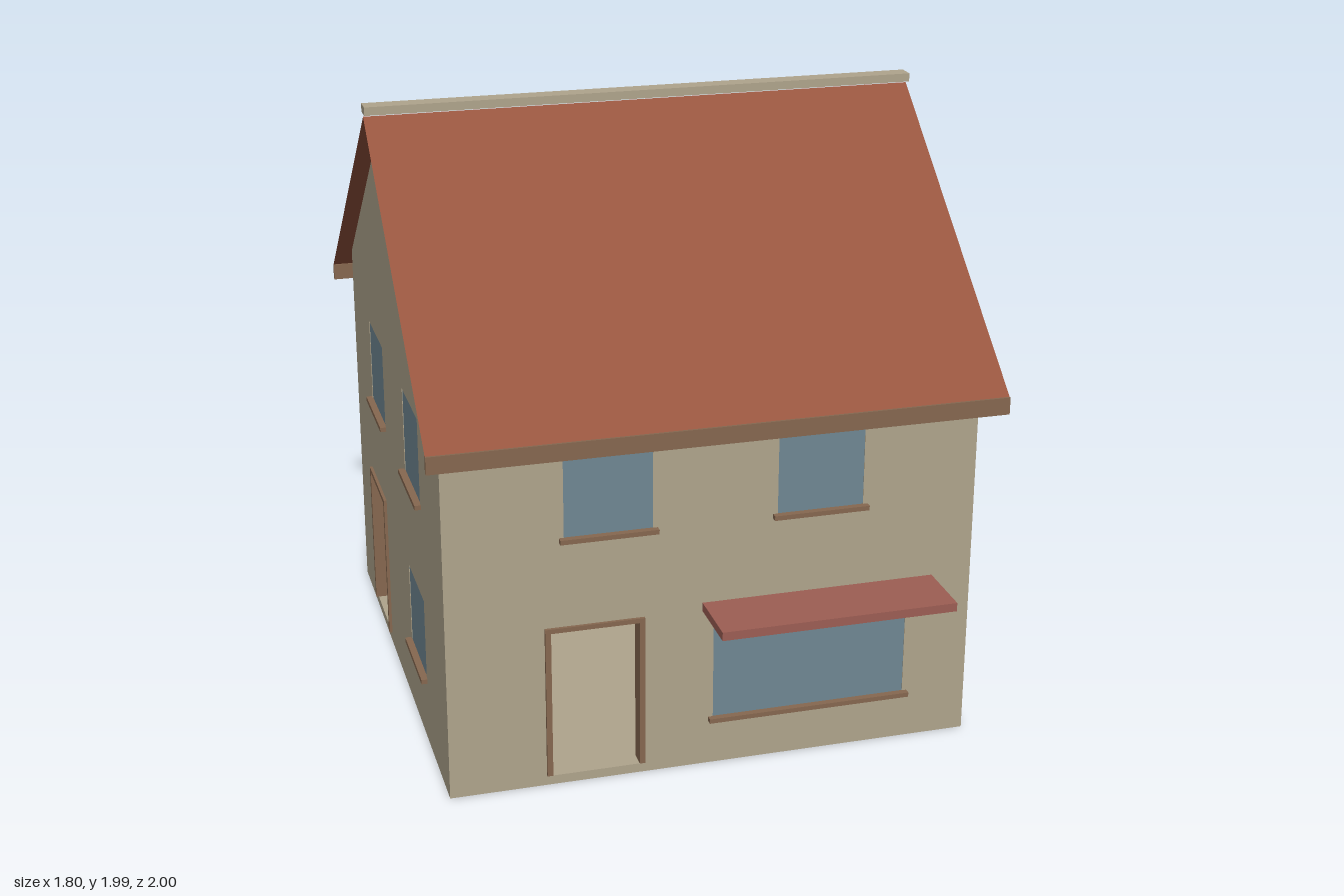
import * as THREE from 'three';

const mat = (name, color) => {
  const m = new THREE.MeshStandardMaterial({ color });
  m.name = name;
  return m;
};

export function createModel() {
  const plaster = mat('plaster', 0xb0a58d);
  const tile = mat('roofTile', 0x97553f);
  const glass = mat('glass', 0x708894);
  const wood = mat('wood', 0x866850);
  const awning = mat('awning', 0x9d5e54);
  tile.side = THREE.DoubleSide;

  const HX = 0.845, HZ = 0.84, EAVE = 1.26, RIDGE = 1.945, T = 0.04;
  const house = new THREE.Group();
  house.name = 'house';
  house.position.z = -0.05;

  // Box given by its lower and upper limits on each axis
  const box = (parent, name, material, x0, x1, y0, y1, z0, z1) => {
    const m = new THREE.Mesh(new THREE.BoxGeometry(x1 - x0, y1 - y0, z1 - z0), material);
    m.position.set((x0 + x1) / 2, (y0 + y1) / 2, (z0 + z1) / 2);
    m.name = name;
    parent.add(m);
    return m;
  };

  // One wall facing local +z, with its windows [x0, x1, y0, y1] and doors (centre x)
  const wall = (name, angle, dist, half, gable, windows, doors) => {
    const g = new THREE.Group();
    g.name = name;
    g.rotation.y = angle;
    const pts = [[-half, 0], [half, 0], [half, EAVE]];
    if (gable) pts.push([0, RIDGE]);
    pts.push([-half, EAVE]);
    const shape = new THREE.Shape(pts.map(p => new THREE.Vector2(...p)));
    const hole = (a, b, c, d) => shape.holes.push(new THREE.Path(
      [[a, c], [a, d], [b, d], [b, c]].map(p => new THREE.Vector2(...p))));

    for (const [a, b, c, d] of windows) {
      hole(a, b, c, d);
      box(g, 'windowPane', glass, a, b, c, d, dist - T + 0.002, dist - 0.002);
      box(g, 'windowSill', wood, a - 0.015, b + 0.015, c - 0.012, c + 0.003, dist - 0.005, dist + 0.02);
    }
    for (const c of doors) {
      const w = 0.157, f = 0.018, z0 = dist - T - 0.005, z1 = dist + 0.01;
      hole(c - w + 0.005, c + w - 0.005, 0.03, 0.537);
      for (const s of [-1, 1]) {
        const a = c + s * w, b = c + s * (w - f);
        box(g, 'doorPost', wood, Math.min(a, b), Math.max(a, b), 0.035, 0.54, z0, z1);
      }
      box(g, 'doorHead', wood, c - w + f, c + w - f, 0.525, 0.54, z0, z1);
    }
    const mesh = new THREE.Mesh(
      new THREE.ExtrudeGeometry(shape, { depth: T, bevelEnabled: false }), plaster);
    mesh.position.z = dist - T;
    mesh.name = name + 'Panel';
    g.add(mesh);
    house.add(g);
  };

  const LOW = [0.228, 0.5], HIGH = [0.832, 1.115];
  const left = [-0.475, -0.198], right = [0.198, 0.475];
  const upper = [[...left, ...HIGH], [...right, ...HIGH]];
  const lower = [[...left, ...LOW], [...right, ...LOW]];

  wall('frontWall', 0, HZ, HX - T, false, [...upper, [-0.003, 0.632, 0.16, 0.527]], [-0.382]);
  wall('backWall', Math.PI, HZ, HX - T, false, [...upper, ...lower], []);
  wall('leftGableWall', Math.PI / 2, HX, HZ, true, [...upper, ...lower], []);
  wall('rightGableWall', -Math.PI / 2, HX, HZ, true, [...upper, lower[1]], [-0.405]);

  // Ground floor slab inside the walls
  box(house, 'floor', plaster, -HX + T, HX - T, 0, 0.03, -HZ + T, HZ - T);

  // Two thin roof slopes with fascia boards at the eaves
  const RUN = 0.94, drop = RUN * (RIDGE - EAVE) / HZ;
  for (const s of [-1, 1]) {
    const slope = new THREE.Mesh(new THREE.PlaneGeometry(1.8, Math.hypot(RUN, drop)), tile);
    slope.name = s > 0 ? 'frontRoofSlope' : 'backRoofSlope';
    slope.rotation.x = -s * Math.atan2(RUN, drop);
    slope.position.set(0, RIDGE - drop / 2 + 0.004, s * RUN / 2);
    house.add(slope);
    box(house, 'fascia', wood, -0.9, 0.9, 1.128, 1.183,
      s > 0 ? RUN - 0.007 : -RUN - 0.007, s > 0 ? RUN + 0.007 : -RUN + 0.007);
  }

  // Ridge cap and the small vent on the back slope
  box(house, 'ridgeCap', plaster, -0.9, 0.9, 1.958, 1.985, -0.03, 0.03);
  box(house, 'roofVent', plaster, -0.63, -0.43, 1.642, 1.668, -0.407, -0.35);

  // Canopy over the large front window
  box(house, 'canopy', awning, -0.04, 0.715, 0.535, 0.563, HZ - 0.005, 1.05);

  const model = new THREE.Group();
  model.name = 'model';
  model.add(house);
  return model;
}
